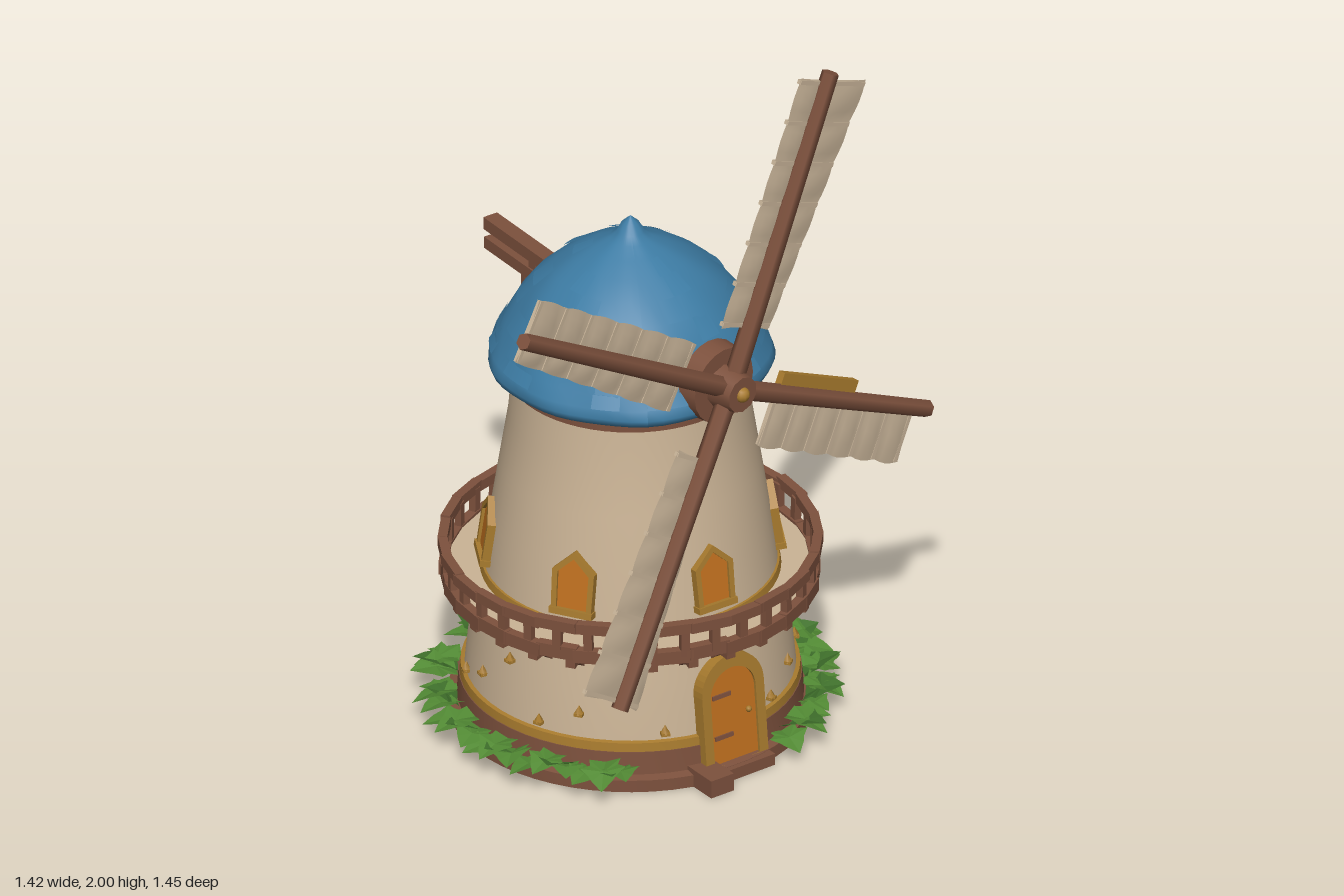
import * as THREE from 'three';
import { toCreasedNormals } from 'three/addons/utils/BufferGeometryUtils.js';

const mat = (name, color, side = THREE.FrontSide) => {
  const m = new THREE.MeshStandardMaterial({ color, side });
  m.name = name;
  return m;
};
const RAD = Math.PI / 180;

export function createModel() {
  const plaster = mat('plaster', 0xcbb496);
  const cloth = mat('sailcloth', 0xc6b297, THREE.DoubleSide);
  const blue = mat('blue roof', 0x3d7ca4, THREE.DoubleSide);
  const wood = mat('brown wood', 0x7d513d);
  const gold = mat('golden trim', 0xa87b2e);
  const orange = mat('orange wood', 0xc0701f);
  const leafGreen = mat('leaf green', 0x528a34, THREE.DoubleSide);
  const darkGreen = mat('dark leaf green', 0x3f702b, THREE.DoubleSide);

  let seed = 7;
  const rnd = () => (seed = (seed * 16807) % 2147483647) / 2147483647;
  const jit = (a) => (rnd() - 0.5) * 2 * a;

  const model = new THREE.Group();
  const tower = new THREE.Group();
  tower.name = 'tower';
  tower.position.set(-0.125, 0, -0.125);
  model.add(tower);

  const add = (parent, name, geo, m, x = 0, y = 0, z = 0) => {
    const mesh = new THREE.Mesh(geo, m);
    mesh.name = name;
    mesh.position.set(x, y, z);
    parent.add(mesh);
    return mesh;
  };
  const box = (w, h, d) => new THREE.BoxGeometry(w, h, d);
  const lathe = (pts, seg = 56, start = 0, len = Math.PI * 2) =>
    toCreasedNormals(new THREE.LatheGeometry(pts.map(([r, y]) => new THREE.Vector2(r, y)), seg, start, len), 0.7);
  // group on the tower facing outward at an angle (degrees from the front)
  const around = (name, deg, r, y, tilt = 0) => {
    const g = new THREE.Group();
    g.name = name;
    g.rotation.order = 'YXZ';
    g.rotation.set(-tilt, deg * RAD, 0);
    g.position.set(Math.sin(deg * RAD) * r, y, Math.cos(deg * RAD) * r);
    tower.add(g);
    return g;
  };

  // plinth, walls and bands
  add(tower, 'plinth', lathe([[0, 0], [0.49, 0], [0.49, 0.035], [0.465, 0.04], [0.46, 0.105], [0.43, 0.105]]), wood);
  add(tower, 'baseBand', lathe([[0.44, 0.1], [0.458, 0.1], [0.455, 0.13], [0.44, 0.133]]), gold);
  add(tower, 'lowerWall', lathe([[0.447, 0.1], [0.437, 0.2], [0.424, 0.3], [0.41, 0.4]]), plaster);
  add(tower, 'balconyFloor', lathe([[0.4, 0.398], [0.49, 0.398], [0.49, 0.43], [0.38, 0.43]]), plaster);
  add(tower, 'floorBand', lathe([[0.38, 0.43], [0.404, 0.43], [0.4, 0.452], [0.38, 0.455]]), gold);
  add(tower, 'upperWall', lathe([[0.397, 0.43], [0.375, 0.6], [0.35, 0.76], [0.328, 0.9], [0.315, 1.06]]), plaster);
  add(tower, 'collar', lathe([[0.3, 1.015], [0.328, 1.015], [0.328, 1.07], [0.3, 1.07]]), wood);

  // domed roof with faintly raised shingle patches
  const roofPts = [[0.3, 1.06], [0.35, 1.05], [0.376, 1.06], [0.384, 1.08], [0.376, 1.105], [0.357, 1.14], [0.335, 1.185],
    [0.302, 1.24], [0.258, 1.295], [0.206, 1.342], [0.152, 1.38], [0.1, 1.411], [0.058, 1.433], [0.037, 1.452],
    [0.024, 1.476], [0, 1.498]];
  const roofGeo = new THREE.LatheGeometry(roofPts.map((p) => new THREE.Vector2(...p)), 56);
  const rp = roofGeo.attributes.position;
  for (let i = 0; i < rp.count; i++) {
    const a = Math.atan2(rp.getX(i), rp.getZ(i)), y = rp.getY(i);
    const k = 1 + 0.008 * Math.sin(a * 9 + y * 25) + 0.006 * Math.sin(a * 5 - y * 40);
    rp.setXYZ(i, rp.getX(i) * k, y, rp.getZ(i) * k);
  }
  roofGeo.computeVertexNormals();
  add(tower, 'roof', roofGeo, blue);
  for (let row = 4; row < 11; row++) {
    const count = 13 - row;
    for (let i = 0; i < count; i++) {
      const [r0, y0] = roofPts[row], [r1, y1] = roofPts[row + 1];
      const start = ((i + rnd() * 0.6) / count) * Math.PI * 2;
      add(tower, 'shingle', lathe([[r0 + 0.003, y0 + 0.003], [r1 + 0.001, y1 + 0.001]], 5, start, 0.2 + rnd() * 0.15), blue);
    }
  }

  // balcony rails made of planks, with posts and brackets
  const rail = (name, r, y, h, d, n) => {
    for (let i = 0; i < n; i++) {
      const g = around(name, ((i + 0.5) * 360) / n, r + jit(0.003), y + jit(0.004));
      add(g, name, box((2 * Math.PI * r) / n + 0.012, h, d), wood).rotation.z = jit(0.03);
    }
  };
  rail('lowerRail', 0.495, 0.415, 0.038, 0.026, 30);
  rail('handrail', 0.502, 0.503, 0.03, 0.026, 30);
  for (let i = 0; i < 36; i++) {
    add(around('railPost', i * 10, 0.497, 0.46), 'railPost', box(0.024, 0.09, 0.02), wood).rotation.z = jit(0.06);
  }
  for (let i = 0; i < 28; i++) {
    const g = around('bracket', (i * 360) / 28, 0.445, 0.383);
    add(g, 'bracketBeam', box(0.028, 0.026, 0.11), wood, 0, 0.003, 0);
    add(g, 'bracketBrace', box(0.024, 0.02, 0.075), wood, 0, -0.016, -0.005).rotation.x = -0.65;
  }

  // arched or pointed openings: frame and panel
  const outline = (C, w, h, pointed) => {
    const s = new C();
    s.moveTo(-w, 0);
    s.lineTo(w, 0);
    if (pointed) {
      s.lineTo(w * 1.05, h - w);
      s.lineTo(0, h);
      s.lineTo(-w * 1.05, h - w);
    } else {
      s.lineTo(w, h - w);
      s.absarc(0, h - w, w, 0, Math.PI, false);
    }
    s.closePath();
    return s;
  };
  const opening = (name, deg, r, y, w, h, t, tilt, pointed) => {
    const g = around(name, deg, r, y, tilt);
    const frame = outline(THREE.Shape, w, h, pointed);
    frame.holes.push(outline(THREE.Path, w - t, h - t * 1.4, pointed));
    const opt = { bevelEnabled: false, curveSegments: 10 };
    add(g, name + 'Frame', new THREE.ExtrudeGeometry(frame, { ...opt, depth: 0.065 }), gold, 0, 0, -0.045);
    add(g, name + 'Panel', new THREE.ExtrudeGeometry(outline(THREE.Shape, w - t * 0.8, h - t * 1.2, pointed), { ...opt, depth: 0.056 }),
      orange, 0, 0.004, -0.044);
    return g;
  };
  for (const deg of [28, 90, 180, 207, -90, -30]) {
    const g = opening('window', deg, 0.39, 0.475, 0.058, 0.185, 0.015, 0.14, true);
    add(g, 'windowSill', box(0.124, 0.018, 0.03), gold, 0, 0.009, 0.01);
  }
  const door = opening('frontDoor', 30, 0.458, 0.035, 0.103, 0.315, 0.028, 0.1, false);
  for (const k of [0.08, 0.2]) add(door, 'hinge', box(0.06, 0.012, 0.006), wood, -0.035, k, 0.014);
  add(door, 'doorKnob', new THREE.SphereGeometry(0.009, 8, 6), gold, 0.05, 0.135, 0.016);
  const backDoor = opening('backDoor', 147, 0.444, 0.125, 0.098, 0.245, 0.026, 0.12, false);
  add(backDoor, 'backDoorSill', box(0.19, 0.026, 0.05), gold, 0, 0.013, 0);
  add(around('doorStep', 18, 0.5, 0.026), 'doorStep', box(0.075, 0.052, 0.12), wood).rotation.y = 0.2;
  add(around('threshold', 30, 0.475, 0.017), 'threshold', box(0.21, 0.034, 0.06), wood);

  // small studs on the walls
  for (let i = 0; i < 24; i++) {
    const deg = i * 15 + 5, y = [0.16, 0.21, 0.3][i % 3];
    if (Math.abs(deg - 30) < 18 || Math.abs(deg - 147) < 18) continue;
    const g = around('wallStud', deg, 0.458 - y * 0.11, y);
    add(g, 'wallStud', new THREE.ConeGeometry(0.014, 0.026, 5), gold, 0, 0.006, 0.008);
    add(g, 'studPin', box(0.024, 0.009, 0.03), gold, 0, -0.008, 0.004);
  }
  add(around('highStud', 28, 0.335, 0.9), 'highStud', new THREE.ConeGeometry(0.016, 0.035, 5), gold);

  // tail beams with a hanging lantern at the back of the roof
  const tail = around('tailBeams', 208, 0, 0);
  add(tail, 'upperTailBeam', box(0.045, 0.036, 0.31), wood, 0, 1.175, 0.5);
  add(tail, 'lowerTailBeam', box(0.04, 0.034, 0.31), wood, 0, 1.115, 0.5);
  add(tail, 'tailPost', box(0.03, 0.14, 0.03), wood, 0, 1.12, 0.44);
  add(tail, 'tailBrace', box(0.026, 0.026, 0.16), wood, 0, 1.06, 0.4);
  add(tail, 'lanternRod', box(0.018, 0.1, 0.018), wood, 0, 1.06, 0.49);
  add(tail, 'lantern', new THREE.SphereGeometry(0.024, 8, 6), gold, 0, 1.0, 0.49);

  // clusters of broad lobed leaves around the base
  const rim = [[0, 0], [0.045, 0.005], [0.04, 0.032], [0.066, 0.055], [0.042, 0.078], [0.03, 0.098], [0, 0.13]];
  const edge = [...rim, ...rim.slice(1, -1).reverse().map(([x, z]) => [-x, z])];
  const tri = edge.flatMap(([x, z], i) => {
    const [x2, z2] = edge[(i + 1) % edge.length];
    return [0, 0.006, 0.06, x, Math.abs(x) * 0.3 - z * z, z, x2, Math.abs(x2) * 0.3 - z2 * z2, z2];
  });
  const leaf = new THREE.BufferGeometry();
  leaf.setAttribute('position', new THREE.Float32BufferAttribute(tri, 3));
  leaf.computeVertexNormals();
  for (const deg of [56, 77, 90, 112, 128, 149, 173, 204, 228, 251, 272, 291, 309, 328, 345]) {
    const g = around('leafCluster', deg, 0.475, 0.03);
    [[-0.55, -0.1, 0.02], [0.5, -0.2, 0.03], [0, 0.05, 0.05], [0.1, -0.55, 0.015]].forEach(([yaw, pitch, y], i) => {
      const l = add(g, 'leaf', leaf, i === 3 ? darkGreen : leafGreen, yaw * 0.06, y, -0.005);
      l.rotation.order = 'YXZ';
      l.rotation.set(pitch + jit(0.12), yaw + jit(0.2), jit(0.25));
      l.scale.setScalar(0.75 + rnd() * 0.25);
    });
  }

  // windmill rotor
  const rotor = new THREE.Group();
  rotor.name = 'rotor';
  rotor.position.set(0.1, 1.14, 0.21);
  rotor.rotation.y = Math.atan2(0.6, 0.8);
  model.add(rotor);
  const axle = (name, r0, r1, len, z, seg) =>
    (add(rotor, name, new THREE.CylinderGeometry(r0, r1, len, seg), wood, 0, 0, z).rotation.x = Math.PI / 2);
  axle('axle', 0.055, 0.06, 0.2, -0.13, 16);
  axle('hubDisc', 0.108, 0.112, 0.06, -0.05, 20);
  axle('hub', 0.052, 0.066, 0.09, 0.008, 10);
  add(rotor, 'hubCap', new THREE.SphereGeometry(0.022, 10, 8), gold, 0, 0, 0.05);

  // one half of a sail: a softly billowing sheet with scalloped panels
  const sheet = (y0, y1, wRoot, wTip) => {
    const panels = 6, geo = new THREE.PlaneGeometry(1, 1, 4, panels * 4), p = geo.attributes.position;
    for (let i = 0; i < p.count; i++) {
      const u = p.getX(i) + 0.5, v = p.getY(i) + 0.5;
      const puff = Math.abs(Math.sin(v * panels * Math.PI));
      const w = (wRoot + (wTip - wRoot) * v) * (0.95 + 0.05 * puff);
      p.setXYZ(i, u * w, y0 + (y1 - y0) * v + 0.025 * u * (v - 0.5), -0.004 + 0.007 * puff * Math.sin(u * Math.PI));
    }
    geo.computeVertexNormals();
    return geo;
  };
  // angle, length, forward lean, sail start and end, then widths: left root and tip, right root and tip
  const sails = [
    [22.4, 0.915, 0.025, 0.18, 0.88, -0.105, -0.1, 0.09, 0.17],
    [115.4, 0.8, 0.01, 0.2, 0.75, 0, 0, 0.16, 0.168],
    [212.4, 0.91, 0.085, 0.21, 0.89, -0.04, -0.085, 0.114, 0.155],
    [300.6, 0.924, 0.03, 0.21, 0.9, -0.105, -0.065, 0.1, 0.122],
  ];
  for (const [deg, len, lean, y0, y1, lr, lt, rr, rt] of sails) {
    const g = new THREE.Group();
    g.name = 'sail';
    g.rotation.order = 'ZXY';
    g.rotation.set(lean, 0, -deg * RAD);
    rotor.add(g);
    const arm = add(g, 'sailArm', new THREE.CylinderGeometry(0.024, 0.029, len, 6), wood, 0, len / 2, 0.006);
    arm.rotation.y = Math.PI / 6;
    for (const [root, tip] of [[lr, lt], [rr, rt]]) {
      if (!root) continue;
      add(g, 'sailCloth', sheet(y0, y1, root, tip), cloth);
      for (let i = 0; i <= 6; i++) {
        const w = (root + ((tip - root) * i) / 6) * 0.95;
        add(g, 'sailRib', box(Math.abs(w), 0.012, 0.014), cloth, w / 2, y0 + ((y1 - y0) * i) / 6, -0.008);
      }
    }
    if (!lr) add(g, 'sailBatten', box(0.042, 0.3, 0.022), gold, -0.038, 0.34, -0.002);
  }
  return model;
}
